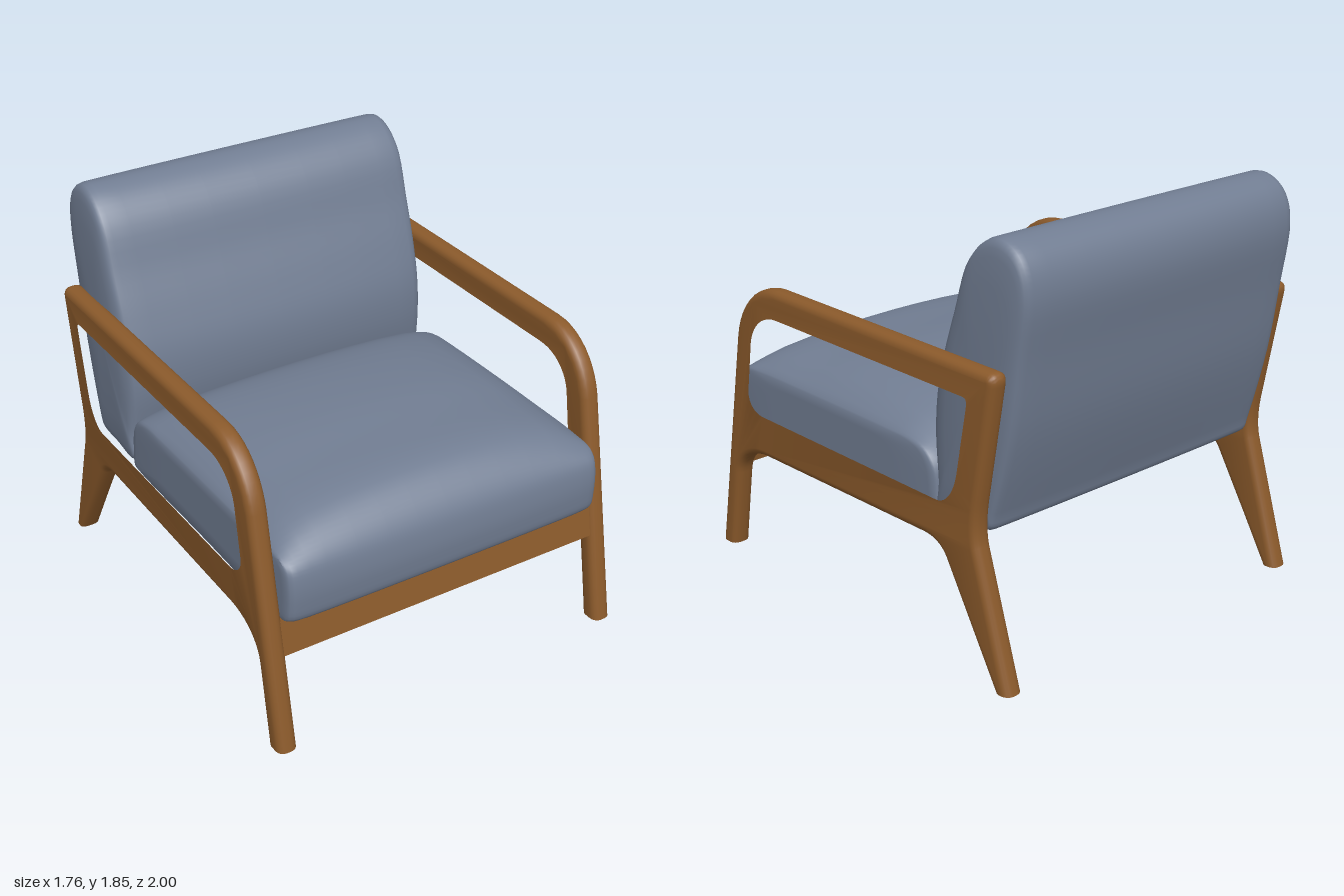
import * as THREE from 'three';
import { toCreasedNormals } from 'three/addons/utils/BufferGeometryUtils.js';

// Side frame: legs, rail and arm in one outline. Shape x is -z of the chair.
function frameGeometry() {
  const s = new THREE.Shape();
  s.moveTo(-1.005, -0.04);
  s.lineTo(-0.8, 1.08);
  s.bezierCurveTo(-0.77, 1.22, -0.66, 1.35, -0.49, 1.35);
  s.lineTo(0.86, 1.35);
  s.quadraticCurveTo(0.91, 1.35, 0.9, 1.295);
  s.lineTo(0.808, 0.79);
  s.quadraticCurveTo(0.785, 0.67, 0.805, 0.59);
  s.lineTo(0.99, -0.04);
  s.lineTo(0.915, -0.04);
  s.lineTo(0.61, 0.49);
  s.quadraticCurveTo(0.57, 0.55, 0.48, 0.55);
  s.lineTo(-0.62, 0.535);
  s.bezierCurveTo(-0.74, 0.53, -0.82, 0.47, -0.835, 0.385);
  s.lineTo(-0.905, -0.04);
  s.closePath();

  const h = new THREE.Path();
  h.moveTo(-0.48, 1.257);
  h.lineTo(0.73, 1.257);
  h.quadraticCurveTo(0.8, 1.257, 0.789, 1.18);
  h.lineTo(0.73, 0.88);
  h.bezierCurveTo(0.71, 0.78, 0.65, 0.7, 0.57, 0.7);
  h.lineTo(-0.62, 0.7);
  h.bezierCurveTo(-0.7, 0.7, -0.765, 0.76, -0.752, 0.84);
  h.lineTo(-0.713, 1.08);
  h.bezierCurveTo(-0.69, 1.18, -0.6, 1.257, -0.48, 1.257);
  s.holes.push(h);

  const depth = 0.021, bevel = 0.034;
  const g = new THREE.ExtrudeGeometry(s, {
    depth, bevelEnabled: true, bevelSize: bevel, bevelOffset: -bevel,
    bevelThickness: 0.036, bevelSegments: 4, curveSegments: 10,
  });
  g.translate(0, 0, -depth / 2);
  g.rotateY(Math.PI / 2);
  // cut the feet flat on the floor
  const p = g.attributes.position;
  for (let i = 0; i < p.count; i++) if (p.getY(i) < 0) p.setY(i, 0);
  return toCreasedNormals(g, 0.7);
}

// Cushion lofted along x between a side profile and a crowned centre profile ([z, y] points).
// Each station is [x, scale, z blend, y blend], from the outer side to the middle.
function cushionGeometry(side, centre, half) {
  const N = 72;
  const sample = (pts) => {
    const c = new THREE.CatmullRomCurve3(pts.map(([z, y]) => new THREE.Vector3(0, y, z)), true, 'centripetal');
    return Array.from({ length: N }, (_, i) => c.getPoint(i / N));
  };
  const a = sample(side), b = sample(centre);
  const mid = a.reduce((m, v) => m.add(v), new THREE.Vector3()).divideScalar(N);
  const stations = [
    ...half.map(([x, ...r]) => [-x, ...r]),
    ...half.slice(0, -1).reverse(),
  ];
  const pos = [], idx = [];
  stations.forEach(([x, s, kz, ky], i) => {
    for (let j = 0; j < N; j++) {
      const z = THREE.MathUtils.lerp(a[j].z, b[j].z, kz);
      const y = THREE.MathUtils.lerp(a[j].y, b[j].y, ky);
      pos.push(x, mid.y + (y - mid.y) * s, mid.z + (z - mid.z) * s);
      if (i === stations.length - 1) continue;
      const p = i * N + j, q = i * N + (j + 1) % N;
      idx.push(p, p + N, q, q, p + N, q + N);
    }
  });
  const g = new THREE.BufferGeometry();
  g.setAttribute('position', new THREE.Float32BufferAttribute(pos, 3));
  g.setIndex(idx);
  return toCreasedNormals(g, 0.75);
}

export function createModel() {
  const wood = new THREE.MeshStandardMaterial({ color: 0x8b5a2b });
  wood.name = 'wood';
  const fabric = new THREE.MeshStandardMaterial({ color: 0x717d92 });
  fabric.name = 'fabric';

  const chair = new THREE.Group();
  chair.name = 'armchair';
  const add = (name, geometry, material) => {
    const m = new THREE.Mesh(geometry, material);
    m.name = name;
    chair.add(m);
    return m;
  };

  // Side frames
  const frame = frameGeometry();
  for (const [name, sign] of [['leftFrame', 1], ['rightFrame', -1]]) {
    add(name, frame, wood).position.x = sign * 0.835;
  }

  // Front rail, leaning with the front legs
  const rail = add('frontRail', new THREE.BoxGeometry(1.6, 0.16, 0.055), wood);
  rail.position.set(0, 0.5, 0.868);
  rail.rotation.x = -0.18;

  // Seat cushion
  const seatSide = [
    [0.9, 0.6], [0.915, 0.68], [0.915, 0.78], [0.9, 0.845], [0.86, 0.878], [0.75, 0.89], [0.46, 0.893],
    [0.22, 0.893], [-0.14, 0.89], [-0.29, 0.885], [-0.38, 0.86], [-0.43, 0.8], [-0.45, 0.7],
    [-0.45, 0.6], [-0.42, 0.59], [0.2, 0.59], [0.86, 0.59],
  ];
  const seatCentre = [
    [0.925, 0.59], [0.942, 0.67], [0.942, 0.76], [0.922, 0.85], [0.86, 0.938], [0.75, 1.01], [0.46, 1.037],
    [0.22, 1.05], [-0.14, 1.027], [-0.29, 0.984], [-0.39, 0.91], [-0.45, 0.83], [-0.465, 0.7],
    [-0.465, 0.59], [-0.43, 0.58], [0.2, 0.58], [0.88, 0.58],
  ];
  add('seatCushion', cushionGeometry(seatSide, seatCentre, [
    [0.79, 0, 0, 0], [0.79, 0.6, 0, 0], [0.79, 0.95, 0, 0], [0.785, 1, 0, 0], [0.777, 1, 0.45, 0.08],
    [0.76, 1, 0.8, 0.17], [0.735, 1, 0.95, 0.3], [0.68, 1, 1, 0.52], [0.6, 1, 1, 0.7],
    [0.45, 1, 1, 0.86], [0.3, 1, 1, 0.94], [0.15, 1, 1, 0.985], [0, 1, 1, 1],
  ]), fabric);

  // Back cushion
  const backSide = [
    [-0.475, 0.63], [-0.478, 0.75], [-0.475, 0.95], [-0.49, 1.13], [-0.53, 1.32], [-0.59, 1.51],
    [-0.665, 1.72], [-0.74, 1.79], [-0.82, 1.815], [-0.9, 1.79], [-0.945, 1.73], [-0.96, 1.63],
    [-0.925, 1.374], [-0.875, 1.05], [-0.79, 0.7], [-0.77, 0.65], [-0.62, 0.635],
  ];
  const backCentre = [
    [-0.455, 0.61], [-0.455, 0.72], [-0.415, 0.95], [-0.42, 1.13], [-0.476, 1.32], [-0.55, 1.51],
    [-0.626, 1.72], [-0.72, 1.82], [-0.82, 1.853], [-0.92, 1.82], [-0.975, 1.75], [-1.0, 1.63],
    [-0.965, 1.374], [-0.914, 1.05], [-0.81, 0.7], [-0.785, 0.635], [-0.62, 0.615],
  ];
  add('backCushion', cushionGeometry(backSide, backCentre, [
    [0.806, 0, 0, 0], [0.805, 0.4, 0, 0], [0.8, 0.75, 0, 0], [0.792, 0.94, 0, 0], [0.786, 1, 0, 0],
    [0.779, 1, 0.3, 0.5], [0.765, 1, 0.5, 0.85], [0.74, 1, 0.62, 1], [0.65, 1, 0.75, 1],
    [0.45, 1, 0.89, 1], [0.25, 1, 0.97, 1], [0, 1, 1, 1],
  ]), fabric);

  return chair;
}
